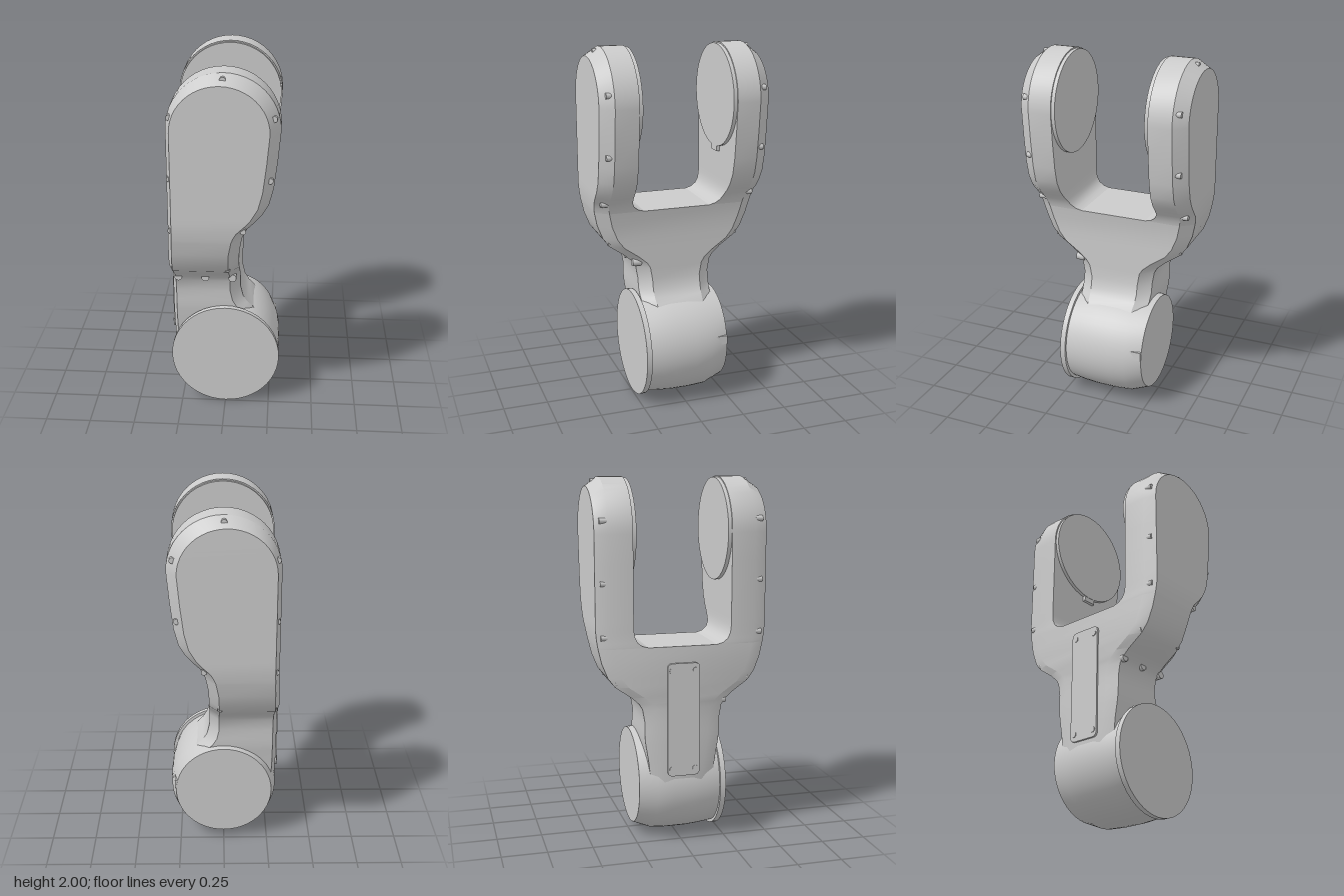
import * as THREE from 'three';
import { toCreasedNormals } from 'three/addons/utils/BufferGeometryUtils.js';

const material = new THREE.MeshStandardMaterial({ color: 0xcccccc });

function addMesh(group, name, geometry) {
  const mesh = new THREE.Mesh(geometry, material);
  mesh.name = name;
  group.add(mesh);
  return mesh;
}

// Skin a stack of closed rings (counter-clockwise seen from above)
function loft(rings, capTop = false) {
  const n = rings[0].length, index = [];
  for (let r = 0; r < rings.length - 1; r++) {
    for (let i = 0; i < n; i++) {
      const j = (i + 1) % n;
      const a = r * n + i, b = r * n + j, c = b + n, d = a + n;
      index.push(a, b, c, a, c, d);
    }
  }
  if (capTop) {
    const top = (rings.length - 1) * n;
    for (let i = 1; i < n - 1; i++) index.push(top, top + i, top + i + 1);
  }
  const geometry = new THREE.BufferGeometry();
  geometry.setAttribute('position', new THREE.Float32BufferAttribute(rings.flat(2), 3));
  geometry.setIndex(index);
  return toCreasedNormals(geometry, 0.5);
}

// Profile rows: y, right edge (-x), left edge (+x), outer z
const BODY = [
  [0.32, -0.295, 0.2, 0.17],
  [0.48, -0.3, 0.2, 0.19],
  [0.57, -0.3, 0.15, 0.205],
  [0.6, -0.3, 0.118, 0.208],
  [0.64, -0.3, 0.094, 0.21],
  [0.7, -0.3, 0.08, 0.21],
  [0.77, -0.3, 0.08, 0.222],
  [0.8, -0.3, 0.08, 0.24],
  [0.84, -0.3, 0.08, 0.285],
  [0.9, -0.3, 0.08, 0.37],
  [0.95, -0.298, 0.08, 0.408],
  [1.03, -0.295, 0.083, 0.44],
  [1.11, -0.292, 0.097, 0.458],
];
// The arms add the inner z
const ARM = [
  [1.11, -0.292, 0.097, 0.458, 0.19],
  [1.12, -0.292, 0.1, 0.46, 0.225],
  [1.14, -0.291, 0.108, 0.463, 0.25],
  [1.17, -0.29, 0.125, 0.467, 0.265],
  [1.21, -0.29, 0.165, 0.47, 0.27],
  [1.25, -0.29, 0.2, 0.47, 0.27],
  [1.31, -0.29, 0.235, 0.47, 0.27],
  [1.4, -0.29, 0.258, 0.47, 0.27],
  [1.55, -0.29, 0.276, 0.47, 0.27],
];
const BEVEL = 0.07, INSET_R = 0.025, INSET_L = 0.055;
const HEAD_Y = 1.71, HEAD_R = 0.29;

function bodyRing([y, xr, xl, z]) {
  const a = xr + INSET_R, b = xl - INSET_L, s = z - BEVEL;
  return [[a, y, z], [b, y, z], [xl, y, s], [xl, y, -s],
    [b, y, -z], [a, y, -z], [xr, y, -s], [xr, y, s]];
}

function armRing(xr, xl, bevelR, bevelL, y, bevelY, zo, zi, side) {
  const s = zo - BEVEL;
  const ring = [[bevelR, bevelY, zo], [bevelL, bevelY, zo], [xl, y, s],
    [xl, y, zi], [xr, y, zi], [xr, y, s]].map(([x, h, z]) => [x, h, z * side]);
  return side > 0 ? ring : ring.reverse();
}

function armGeometry(side) {
  const rings = ARM.map(([y, xr, xl, zo, zi]) =>
    armRing(xr, xl, xr + INSET_R, xl - INSET_L, y, y, zo, zi, side));
  // Round head
  const steps = 12;
  for (let i = 0; i <= steps; i++) {
    const a = (i / steps) * Math.PI / 2, c = Math.cos(a), s = Math.sin(a);
    rings.push(armRing(-HEAD_R * c, HEAD_R * c, -0.015 - 0.25 * c, -0.015 + 0.25 * c,
      HEAD_Y + HEAD_R * s, HEAD_Y + 0.24 * s, 0.47, 0.27, side));
  }
  return loft(rings);
}

function zCylinder(radius, length, x, y, z, sides) {
  return new THREE.CylinderGeometry(radius, radius, length, sides)
    .rotateX(Math.PI / 2).translate(x, y, z);
}

// Lower joint drum, turned about z, its back face set slightly higher
function hubGeometry() {
  const profile = [[0, -0.24], [0.272, -0.24], [0.298, -0.14], [0.304, -0.05], [0.304, 0.06],
    [0.298, 0.14], [0.288, 0.215]].map(([r, z]) => new THREE.Vector2(r, z));
  const geometry = new THREE.LatheGeometry(profile, 48).rotateX(Math.PI / 2);
  const p = geometry.attributes.position;
  for (let i = 0; i < p.count; i++) {
    p.setY(i, p.getY(i) + (p.getZ(i) < -0.2 ? 0.32 : 0.305));
  }
  return toCreasedNormals(geometry, 0.5);
}

// Rounded cover plate on the -x side
function plateGeometry() {
  const w = 0.09, y0 = 0.39, y1 = 1.02, r = 0.03;
  const s = new THREE.Shape();
  s.moveTo(-w + r, y0);
  s.lineTo(w - r, y0);
  s.quadraticCurveTo(w, y0, w, y0 + r);
  s.lineTo(w, y1 - r);
  s.quadraticCurveTo(w, y1, w - r, y1);
  s.lineTo(-w + r, y1);
  s.quadraticCurveTo(-w, y1, -w, y1 - r);
  s.lineTo(-w, y0 + r);
  s.quadraticCurveTo(-w, y0, -w + r, y0);
  return new THREE.ExtrudeGeometry(s, { depth: 0.03, bevelEnabled: false, curveSegments: 5 })
    .rotateY(-Math.PI / 2).translate(-0.279, 0, 0);
}

export function createModel() {
  const model = new THREE.Group();
  model.name = 'armLink';

  addMesh(model, 'body', loft(BODY.map(bodyRing), true));
  addMesh(model, 'lowerHub', hubGeometry());
  addMesh(model, 'lowerHubRim', toCreasedNormals(zCylinder(0.305, 0.03, 0, 0.305, 0.23, 48), 0.5));
  addMesh(model, 'hubBoss', new THREE.BoxGeometry(0.04, 0.05, 0.08).translate(0.26, 0.36, -0.198));
  addMesh(model, 'coverPlate', plateGeometry());

  // Screws on the bevelled edges: x, y, z
  const screws = [[0, 1.972, 0.42], [-0.265, 1.78, 0.425], [0.255, 1.78, 0.42],
    [-0.27, 1.455, 0.425], [0.24, 1.455, 0.42], [-0.27, 1.17, 0.425], [0.105, 1.17, 0.42],
    [-0.268, 0.92, 0.35], [0.02, 0.92, 0.36]];
  for (const side of [1, -1]) {
    const fork = new THREE.Group();
    fork.name = side > 0 ? 'frontFork' : 'backFork';
    addMesh(fork, 'forkArm', armGeometry(side));
    addMesh(fork, 'bearingDisc',
      toCreasedNormals(zCylinder(0.283, 0.03, 0, HEAD_Y, side * 0.265, 48), 0.5));
    for (const [x, y, z] of screws) {
      addMesh(fork, 'forkScrew', zCylinder(0.016, 0.04, x, y, side * z, 10));
    }
    model.add(fork);
  }

  // Stop tab under the back bearing disc
  addMesh(model, 'stopTab', new THREE.BoxGeometry(0.08, 0.04, 0.025).translate(0, 1.42, -0.264));

  // Front waist screws and cover plate screws
  for (const x of [-0.26, -0.11, 0.04]) {
    addMesh(model, 'waistScrew', zCylinder(0.022, 0.05, x, 0.8, 0.222, 10));
  }
  for (const y of [0.43, 0.98]) {
    for (const z of [-0.065, 0.065]) {
      addMesh(model, 'plateScrew', new THREE.CylinderGeometry(0.016, 0.016, 0.012, 10)
        .rotateZ(Math.PI / 2).translate(-0.307, y, z));
    }
  }
  return model;
}
